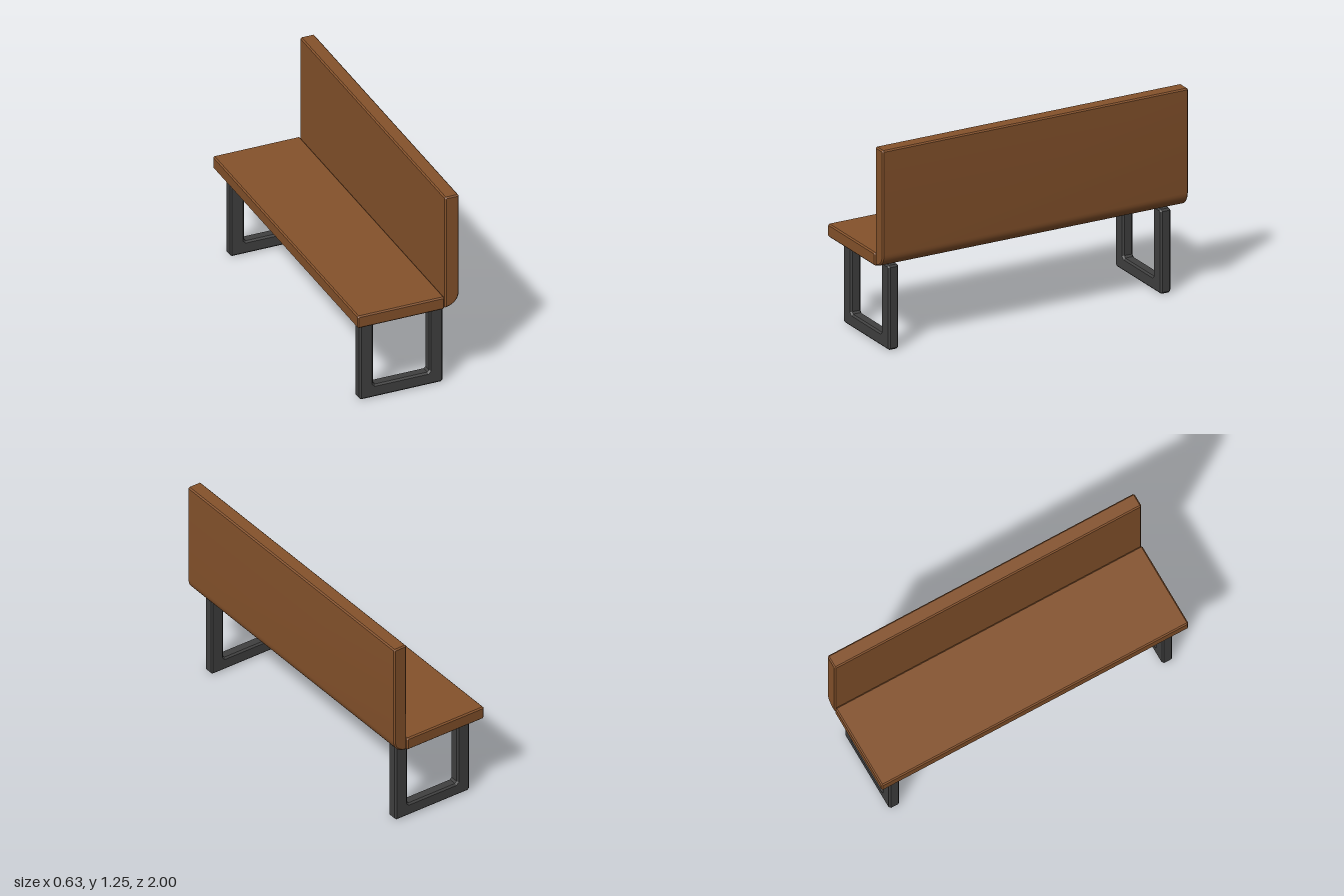
import * as THREE from 'three';
import { toCreasedNormals } from 'three/addons/utils/BufferGeometryUtils.js';

const wood = new THREE.MeshStandardMaterial({ color: 0x85522b });
const metal = new THREE.MeshStandardMaterial({ color: 0x404040 });

// Side profile (x, y) swept along z, with chamfered rims kept inside the profile
function sweep(name, shape, z0, z1, bevel, material) {
  const geometry = new THREE.ExtrudeGeometry(shape, {
    depth: z1 - z0 - 2 * bevel,
    bevelEnabled: true,
    bevelThickness: bevel,
    bevelSize: bevel,
    bevelOffset: -bevel,
    bevelSegments: 1,
    curveSegments: 10,
  });
  geometry.translate(0, 0, z0 + bevel);
  const mesh = new THREE.Mesh(toCreasedNormals(geometry, 0.5), material);
  mesh.name = name;
  return mesh;
}

// Closed outline with every corner cut back by c
function chamfered(points, c) {
  const corners = points.map(([x, y]) => new THREE.Vector2(x, y));
  const n = corners.length;
  const outline = [];
  corners.forEach((p, i) => {
    for (const q of [corners[(i + n - 1) % n], corners[(i + 1) % n]]) {
      outline.push(p.clone().add(q.clone().sub(p).setLength(c)));
    }
  });
  return new THREE.Shape(outline);
}

export function createModel() {
  const model = new THREE.Group();
  model.name = 'bench';

  // Seat board
  const seat = chamfered([[-0.316, 0.52], [0.225, 0.52], [0.225, 0.6], [-0.316, 0.6]], 0.008);
  model.add(sweep('seat', seat, -1, 1, 0.008, wood));

  // Backrest board with a rounded lower rear edge
  const back = new THREE.Shape();
  back.moveTo(0.227, 0.527);
  back.bezierCurveTo(0.275, 0.53, 0.315, 0.56, 0.315, 0.615);
  back.lineTo(0.315, 1.242);
  back.lineTo(0.307, 1.25);
  back.lineTo(0.235, 1.25);
  back.lineTo(0.227, 1.242);
  back.closePath();
  model.add(sweep('backrest', back, -1, 1, 0.008, wood));

  // U-shaped leg frame at each end
  const frame = chamfered([
    [-0.27, 0.003], [0.25, 0.003], [0.25, 0.517], [0.165, 0.517],
    [0.165, 0.083], [-0.183, 0.083], [-0.183, 0.513], [-0.27, 0.513],
  ], 0.011);
  frame.getPoints();
  for (const [name, z] of [['frontLegFrame', 0.89], ['backLegFrame', -0.89]]) {
    const leg = sweep(name, frame, z - 0.034, z + 0.034, 0.01, metal);
    leg.position.y = -0.003;
    model.add(leg);
  }

  return model;
}
